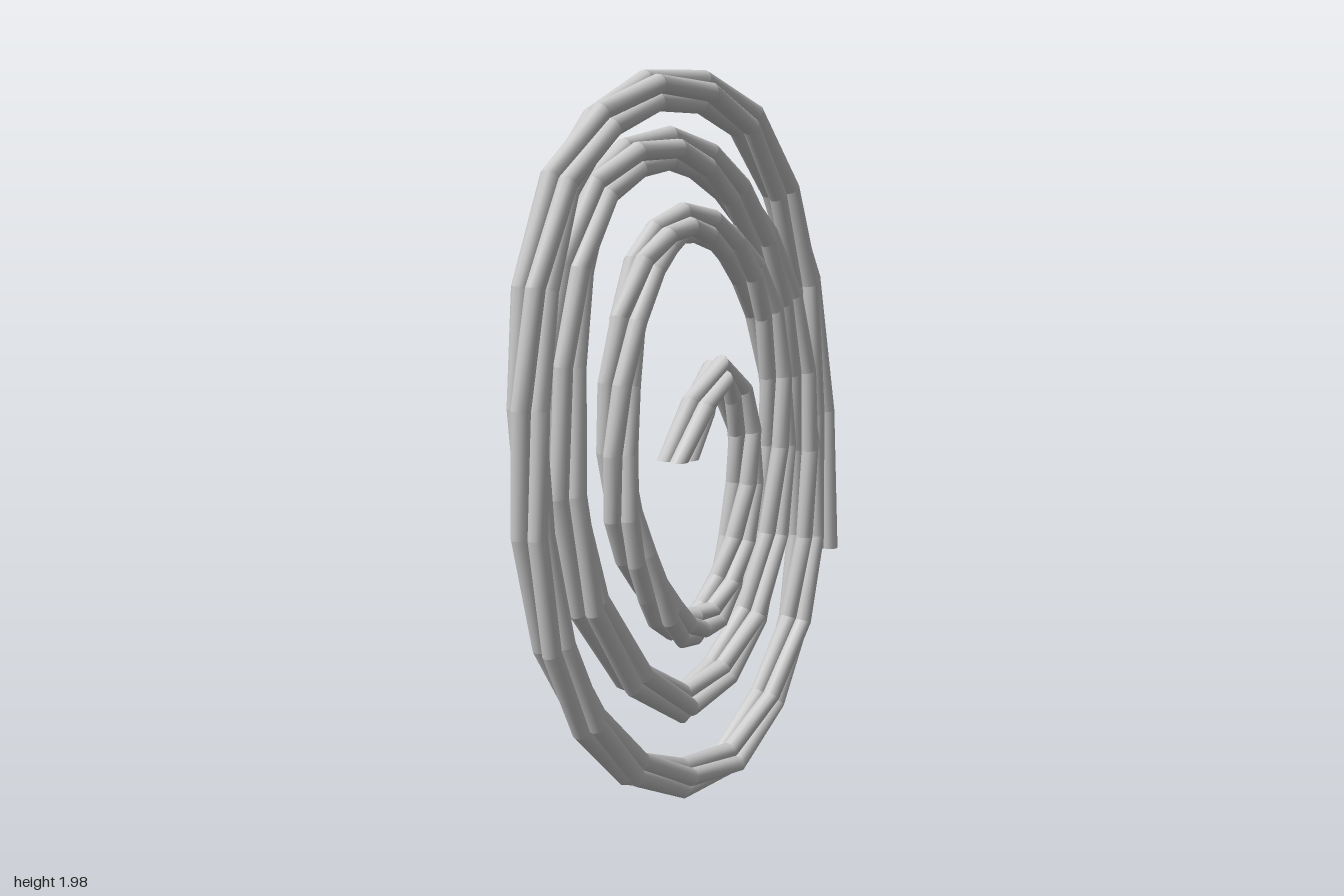
import * as THREE from 'three';

const SIDES = 10;            // sides of one strand
const STRANDS = 4;
const STRAND_RADIUS = 0.025;
const LAY_RADIUS = 0.031;    // strand centre to rope centre
const TWIST = 0.6;           // radians per segment

// Rope centre line as [z, y], from the inner end outwards
const SPIRAL = [
  [0.07, 0.98], [-0.10, 1.19], [-0.22, 1.02], [-0.19, 0.71], [-0.07, 0.52], [0.06, 0.51],
  [0.18, 0.65], [0.29, 0.87], [0.30, 1.21], [0.20, 1.50], [0.05, 1.60], [-0.14, 1.54],
  [-0.31, 1.34], [-0.38, 0.95], [-0.26, 0.47], [0.05, 0.29], [0.42, 0.66], [0.50, 1.28],
  [0.37, 1.69], [0.10, 1.79], [-0.16, 1.68], [-0.40, 1.37], [-0.52, 0.92], [-0.48, 0.40],
  [-0.16, 0.06], [0.26, 0.17], [0.55, 0.59], [0.62, 1.19], [0.50, 1.71], [0.17, 1.93],
  [-0.22, 1.86], [-0.50, 1.41], [-0.61, 0.60],
];

// Joints of the rope: a centre and the two axes of its cross-section
function ropeJoints() {
  const curve = new THREE.CatmullRomCurve3(SPIRAL.map(([z, y]) => new THREE.Vector3(0, y, z)));
  const count = (SPIRAL.length - 1) * 2;
  const across = new THREE.Vector3(1, 0, 0);
  const joints = [];
  for (let i = 0; i <= count; i++) {
    const t = i / count;
    const tangent = curve.getTangent(t);
    // both ends are cut level
    if (i === 0) tangent.set(0, 1, 0);
    if (i === count) tangent.set(0, -1, 0);
    joints.push({
      centre: curve.getPoint(t),
      across,
      outward: new THREE.Vector3().crossVectors(tangent, across),
    });
  }
  return joints;
}

const polar = (origin, joint, radius, angle) => origin.clone()
  .addScaledVector(joint.across, radius * Math.cos(angle))
  .addScaledVector(joint.outward, radius * Math.sin(angle));

// One strand: straight segments, smooth around and creased at the joints
function strandGeometry(joints, phase) {
  const positions = [];
  const index = [];
  const centres = joints.map((j, i) => polar(j.centre, j, LAY_RADIUS, phase + i * TWIST));

  const addRing = (i) => {
    const first = positions.length / 3;
    for (let s = 0; s < SIDES; s++) {
      const angle = phase + i * TWIST + (s / SIDES) * Math.PI * 2;
      positions.push(...polar(centres[i], joints[i], STRAND_RADIUS, angle).toArray());
    }
    return first;
  };
  const addCap = (i, flip) => {
    const ring = addRing(i);
    const middle = positions.length / 3;
    positions.push(...centres[i].toArray());
    for (let s = 0; s < SIDES; s++) {
      const a = ring + s, b = ring + (s + 1) % SIDES;
      index.push(middle, flip ? b : a, flip ? a : b);
    }
  };

  for (let i = 0; i < joints.length - 1; i++) {
    const lower = addRing(i), upper = addRing(i + 1);
    for (let s = 0; s < SIDES; s++) {
      const n = (s + 1) % SIDES;
      index.push(lower + s, lower + n, upper + s, lower + n, upper + n, upper + s);
    }
  }
  addCap(0, true);
  addCap(joints.length - 1, false);

  const geometry = new THREE.BufferGeometry();
  geometry.setAttribute('position', new THREE.Float32BufferAttribute(positions, 3));
  geometry.setIndex(index);
  geometry.computeVertexNormals();
  return geometry;
}

export function createModel() {
  const rope = new THREE.Group();
  rope.name = 'coiledRope';
  const material = new THREE.MeshStandardMaterial({ color: 0xcccccc });
  const joints = ropeJoints();
  for (let k = 0; k < STRANDS; k++) {
    const phase = Math.PI / 4 + (k / STRANDS) * Math.PI * 2;
    const strand = new THREE.Mesh(strandGeometry(joints, phase), material);
    strand.name = `strand${k + 1}`;
    rope.add(strand);
  }
  return rope;
}
